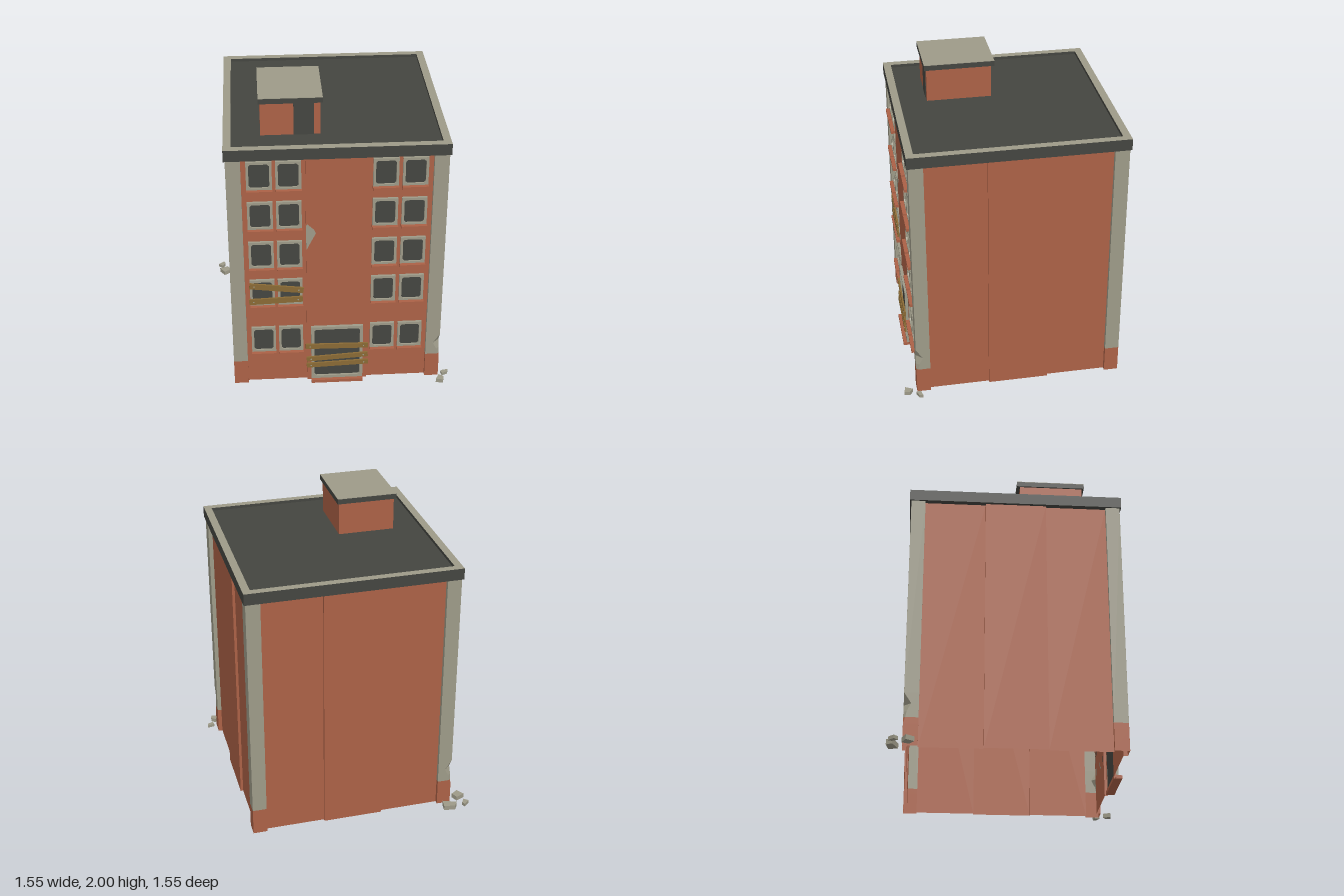
import * as THREE from 'three';

const mat = (name, color, side = THREE.FrontSide) => {
  const m = new THREE.MeshStandardMaterial({ color, side });
  m.name = name;
  return m;
};

export function createModel() {
  const root = new THREE.Group();
  root.name = 'apartmentBlock';
  const brick = mat('brick', 0xab6146, THREE.DoubleSide);
  const concrete = mat('concrete', 0x9d9a88, THREE.DoubleSide);
  const dark = mat('charcoal', 0x444540);
  const wood = mat('wood', 0x8a6a35);

  const add = (name, geo, material, parent = root) => {
    const m = new THREE.Mesh(geo, material);
    m.name = name;
    parent.add(m);
    return m;
  };
  // Box given by its lower and upper limits
  const block = (name, material, x0, x1, y0, y1, z0, z1, parent = root) => {
    const m = add(name, new THREE.BoxGeometry(x1 - x0, y1 - y0, z1 - z0), material, parent);
    m.position.set((x0 + x1) / 2, (y0 + y1) / 2, (z0 + z1) / 2);
    return m;
  };
  // Flat-faced open wall through rows of plan points [x, z], each row at height y
  const wall = (rows) => {
    const p = [];
    for (let r = 0; r + 1 < rows.length; r++) {
      const lo = rows[r], hi = rows[r + 1];
      for (let i = 0; i + 1 < lo.pts.length; i++) {
        const v = (row, k) => [row.pts[k][0], row.y, row.pts[k][1]];
        p.push(...v(lo, i), ...v(lo, i + 1), ...v(hi, i + 1));
        p.push(...v(lo, i), ...v(hi, i + 1), ...v(hi, i));
      }
    }
    const g = new THREE.BufferGeometry();
    g.setAttribute('position', new THREE.Float32BufferAttribute(p, 3));
    g.computeVertexNormals();
    return g;
  };
  const rectPath = (Type, x0, x1, y0, y1, c = 0) => {
    const s = new Type();
    const pts = c
      ? [[x0 + c, y0], [x1 - c, y0], [x1, y0 + c], [x1, y1 - c], [x1 - c, y1], [x0 + c, y1], [x0, y1 - c], [x0, y0 + c]]
      : [[x0, y0], [x1, y0], [x1, y1], [x0, y1]];
    s.setFromPoints(pts.map(([x, y]) => new THREE.Vector2(x, y)));
    s.closePath();
    return s;
  };
  const extrude = (shape, depth) => new THREE.ExtrudeGeometry(shape, { depth, bevelEnabled: false });

  // Four identical walls and corner pillars, open at the bottom
  const CX = 0.022, H = 0.682, IN = 0.655, MID = 0.672, E = 0.59, M = 0.197, TOP = 1.69;
  const shell = new THREE.Group();
  shell.name = 'walls';
  shell.position.x = CX;
  root.add(shell);
  const panelPlan = [[-E, IN], [-M, IN], [-M, MID], [M, MID], [M, IN], [E, IN]];
  const corner = (y, c = 0.0005) => ({
    y, pts: [[E, IN], [E, H], [H - c, H], [H, H - c], [H, E], [IN, E]],
  });
  for (let i = 0; i < 4; i++) {
    const side = new THREE.Group();
    side.name = 'wallSide';
    side.rotation.y = i * Math.PI / 2;
    shell.add(side);
    add('wallPanels', wall([{ y: 0, pts: panelPlan }, { y: TOP, pts: panelPlan }]), brick, side);
    const broken = i % 2 === 0;
    add('pillarBase', wall([corner(0), corner(0.14), corner(0.18, broken ? 0.012 : 0.0005)]), brick, side);
    add('pillar', wall(broken
      ? [corner(0.18, 0.012), corner(0.22, 0.02), corner(0.27, 0.045), corner(0.34), corner(TOP)]
      : [corner(0.18), corner(TOP)]), concrete, side);
  }

  // Roof slab with a low parapet
  const R = 0.692, RI = 0.643;
  block('roofSlab', dark, CX - R, CX + R, TOP, 1.745, -R, R);
  const rim = rectPath(THREE.Shape, CX - R, CX + R, -R, R);
  rim.holes.push(rectPath(THREE.Path, CX - RI, CX + RI, -RI, RI));
  const parapet = add('parapet', extrude(rim, 0.02), [concrete, dark]);
  parapet.rotation.x = -Math.PI / 2;
  parapet.position.y = 1.745;

  // Roof stair house
  block('stairHouse', brick, -0.44, -0.07, 1.74, 1.966, 0.045, 0.465);
  block('stairHouseDoor', dark, -0.235, -0.11, 1.745, 1.962, 0.464, 0.469);
  block('stairHouseRoof', dark, -0.45, -0.056, 1.963, 1.997, 0.025, 0.48);
  block('stairHouseRoofTop', concrete, -0.45, -0.056, 1.997, 2, 0.025, 0.48);

  // Windows: chamfered frame, pane and sill
  const framed = (name, x0, x1, y0, y1, z, depth, t) => {
    const g = new THREE.Group();
    g.name = name;
    root.add(g);
    const s = rectPath(THREE.Shape, x0, x1, y0, y1);
    s.holes.push(rectPath(THREE.Path, x0 + t, x1 - t, y0 + t, y1 - t, 0.012));
    add('frame', extrude(s, depth), concrete, g).position.z = z;
    block('pane', dark, x0 + t / 2, x1 - t / 2, y0 + t / 2, y1 - t / 2, z, z + 0.006, g);
    return g;
  };
  for (const y of [0.245, 0.617, 0.903, 1.192, 1.475]) {
    for (const x of [-0.537, -0.358, 0.24, 0.422]) {
      const g = framed('window', x, x + 0.158, y, y + 0.195, IN, 0.018, 0.016);
      block('sill', brick, x - 0.002, x + 0.16, y - 0.016, y + 0.003, IN, 0.698, g);
    }
  }

  // Entrance door and step
  framed('entranceDoor', -0.148, 0.192, 0.022, 0.44, MID, 0.02, 0.02);
  block('doorStep', brick, -0.148, 0.192, 0, 0.022, 0.66, 0.715);

  // Nailed boards between two end points
  const board = (x0, y0, x1, y1, z, h) => {
    const g = new THREE.Group();
    g.name = 'board';
    g.position.set((x0 + x1) / 2, (y0 + y1) / 2, z);
    g.rotation.z = Math.atan2(y1 - y0, x1 - x0);
    root.add(g);
    const l = Math.hypot(x1 - x0, y1 - y0) / 2;
    block('plank', wood, -l, l, -h / 2, h / 2, -0.006, 0.006, g);
    for (const s of [-1, 1]) {
      const nail = add('nail', new THREE.CylinderGeometry(0.005, 0.005, 0.004, 6), concrete, g);
      nail.rotation.x = Math.PI / 2;
      nail.position.set(s * (l - 0.03), 0, 0.007);
    }
  };
  board(-0.54, 0.78, -0.195, 0.735, 0.684, 0.04);
  board(-0.545, 0.655, -0.2, 0.667, 0.682, 0.04);
  board(-0.185, 0.295, 0.225, 0.288, 0.699, 0.036);
  board(-0.18, 0.19, 0.225, 0.215, 0.699, 0.034);
  board(-0.18, 0.14, 0.228, 0.155, 0.7, 0.034);

  // Missing plaster on the middle panel
  const chip = new THREE.Shape([[-0.174, 1.03], [-0.15, 1.08], [-0.113, 1.155], [-0.125, 1.18], [-0.165, 1.22], [-0.174, 1.21]]
    .map(([x, y]) => new THREE.Vector2(x, y)));
  add('plasterDamage', extrude(chip, 0.004), concrete).position.z = MID - 0.001;

  // Rubble: plan outlines [x, z] raised to a small height
  const rubble = [
    [0.022, [-0.78, -0.73], [-0.74, -0.765], [-0.73, -0.74], [-0.75, -0.705]],
    [0.033, [-0.69, -0.74], [-0.665, -0.778], [-0.592, -0.765], [-0.6, -0.705]],
    [0.03, [-0.77, -0.66], [-0.71, -0.685], [-0.69, -0.64], [-0.735, -0.61]],
    [0.02, [0.725, 0.66], [0.775, 0.65], [0.77, 0.675], [0.73, 0.692]],
    [0.028, [0.68, 0.76], [0.705, 0.712], [0.735, 0.735], [0.728, 0.77]],
  ];
  for (const [h, ...pts] of rubble) {
    const g = extrude(new THREE.Shape(pts.map(([x, z]) => new THREE.Vector2(x, -z))), h);
    add('rubble', g, concrete).rotation.x = -Math.PI / 2;
  }
  return root;
}
